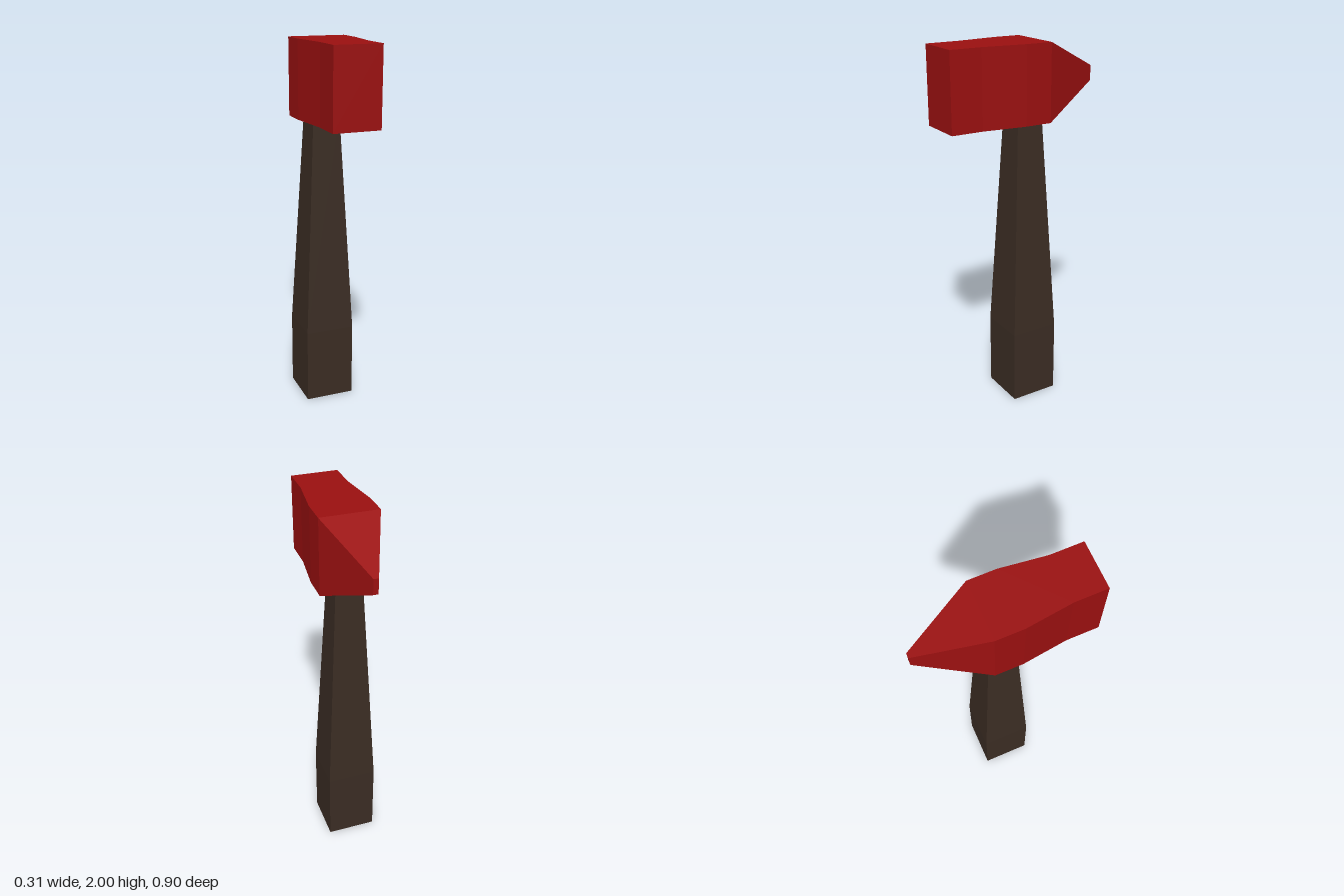
import * as THREE from 'three';

// Faceted loft along +z through rectangles [z, halfWidth, yMin, yMax], capped at both ends
function loftRects(sections) {
  const rings = sections.map(([z, w, y0, y1]) => [[-w, y0, z], [w, y0, z], [w, y1, z], [-w, y1, z]]);
  const pos = [];
  const quad = (a, b, c, d) => pos.push(...a, ...b, ...c, ...a, ...c, ...d);
  for (let s = 0; s < rings.length - 1; s++) {
    const a = rings[s], b = rings[s + 1];
    for (let i = 0; i < 4; i++) {
      const j = (i + 1) % 4;
      quad(a[i], a[j], b[j], b[i]);
    }
  }
  quad(...[...rings[0]].reverse());
  quad(...rings[rings.length - 1]);
  const g = new THREE.BufferGeometry();
  g.setAttribute('position', new THREE.Float32BufferAttribute(pos, 3));
  g.computeVertexNormals();
  return g;
}

function part(name, geometry, color) {
  const mesh = new THREE.Mesh(geometry, new THREE.MeshStandardMaterial({ color, flatShading: true }));
  mesh.name = name;
  return mesh;
}

export function createModel() {
  const group = new THREE.Group();
  group.name = 'hammer';

  // Head: wedge point at the back, bulge over the handle, square striking face in front
  group.add(part('head', loftRects([
    [-0.45, 0.013, 1.757, 1.837],
    [-0.10, 0.154, 1.594, 2],
    [0.045, 0.154, 1.594, 2],
    [0.28, 0.125, 1.594, 2],
    [0.45, 0.125, 1.594, 2],
  ]), 0x9a1010));

  // Handle: straight grip, then a taper up to the head (lofted along z, stood upright)
  const handle = loftRects([
    [0, 0.134, -0.106, 0.16],
    [0.41, 0.134, -0.106, 0.16],
    [1.6, 0.073, -0.046, 0.10],
  ]);
  handle.rotateX(-Math.PI / 2);
  group.add(part('handle', handle, 0x3a2c23));

  return group;
}
